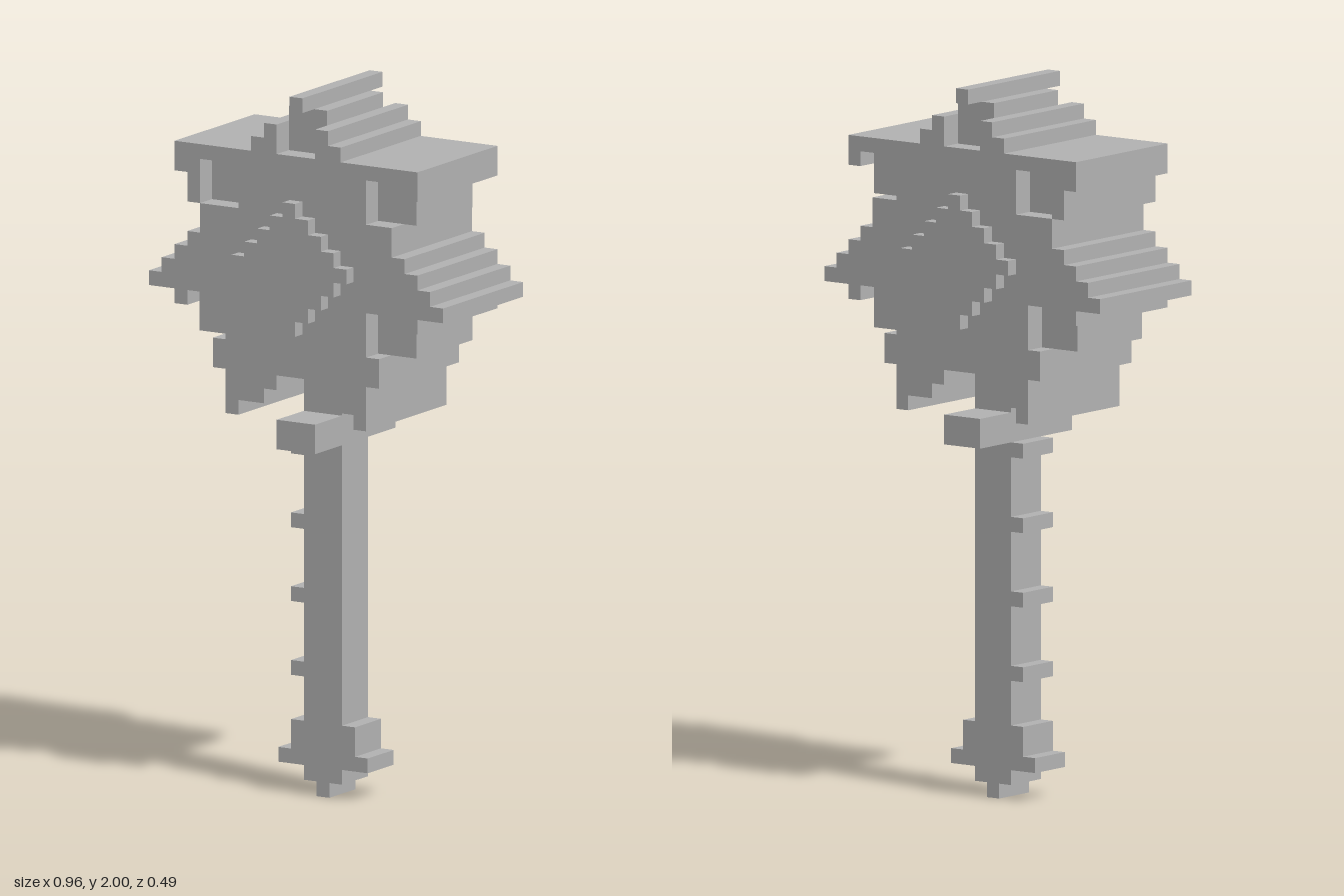
import * as THREE from 'three';

const U = 2 / 48; // one grid step

// Right-hand outlines run from the top centre down to the bottom centre, in steps
const CROWN = [[1.5, 46], [2.5, 46], [2.5, 45], [3.5, 45], [3.5, 44], [9.5, 44], [9.5, 42], [8.5, 42]];
const POINT = [[7.5, 40], [7.5, 38], [8.5, 38], [8.5, 37], [9.5, 37], [9.5, 36], [10.5, 36],
  [10.5, 35], [11.5, 35], [11.5, 34], [9.5, 34], [9.5, 33], [8.5, 33]];
const SKIRT = [[6.5, 31], [6.5, 29], [5.5, 29], [5.5, 26], [4.5, 26], [4.5, 27], [2.5, 27],
  [2.5, 28], [1.5, 28], [1.5, 29]];
const LOWER_POCKET = [[8.5, 34], [5.5, 34], [5.5, 31]];

const coreSide = [[1.5, 47], ...CROWN, [8.5, 40], ...POINT, [8.5, 31], ...SKIRT];
const skinLeft = [[1.5, 44], ...CROWN, [8.5, 43], [5.5, 43], [5.5, 40], ...POINT, ...LOWER_POCKET, ...SKIRT];
const skinRight = [[1.5, 44], ...CROWN, [8.5, 40], [7.505, 40], [7.505, 43], [4.5, 43], [4.5, 40],
  ...POINT, ...LOWER_POCKET, ...SKIRT];

// Join a +x side with a mirrored -x side
const join = (plus, minus) => [...plus, ...minus.map(([x, y]) => [-x, y]).reverse()];

export function createModel() {
  const group = new THREE.Group();
  const grey = new THREE.MeshStandardMaterial({ color: 0xb2b2b2 });
  grey.name = 'grey';

  const add = (name, geometry) => {
    const mesh = new THREE.Mesh(geometry, grey);
    mesh.name = name;
    group.add(mesh);
    return mesh;
  };

  // Extrude an outline between two depths
  const slab = (name, points, z0, z1) => {
    const shape = new THREE.Shape(points.map(([x, y]) => new THREE.Vector2(x * U, y * U)));
    const geometry = new THREE.ExtrudeGeometry(shape, { depth: (z1 - z0) * U, bevelEnabled: false });
    return add(name, geometry.translate(0, 0, z0 * U));
  };

  // Box centred on x and z
  const box = (name, halfX, y0, y1, halfZ) => {
    const geometry = new THREE.BoxGeometry(halfX * 2 * U, (y1 - y0) * U, halfZ * 2 * U);
    return add(name, geometry.translate(0, (y0 + y1) / 2 * U, 0));
  };

  // Star-shaped head: full core with pocketed plates on both faces
  slab('headCore', join(coreSide, coreSide), -3.5, 3.5);
  slab('headFrontPlate', join(skinLeft, skinRight), 3.5, 5);
  slab('headBackPlate', join(skinLeft, skinRight), -5, -3.5);
  box('topRidge', 0.5, 47, 48, 5);

  // Raised stepped diamond on both faces
  const quarter = [];
  for (let i = 0; i < 9; i++) {
    const half = 4.5 - Math.abs(i - 4);
    quarter.push([half, 41 - i], [half, 40 - i]);
  }
  slab('frontDiamond', join(quarter, quarter), 5, 5.88);
  slab('backDiamond', join(quarter, quarter), -5.88, -5);

  // Collar where the handle meets the head
  box('collar', 1.5, 24, 26, 5);

  // Handle with a stepped pommel and a row of pegs on the -x side
  const pommel = [[1.5, 5], [2.5, 5], [2.5, 3], [3.5, 3], [3.5, 2], [1.5, 2], [1.5, 1], [0.5, 1], [0.5, 0]];
  const pegs = [23, 18, 13, 8].flatMap((y) => [[1.5, y + 1], [2.5, y + 1], [2.5, y], [1.5, y]]);
  slab('handle', join([[1.5, 29], ...pommel], [[1.5, 29], ...pegs, ...pommel]), -1.62, 1.62);

  return group;
}
